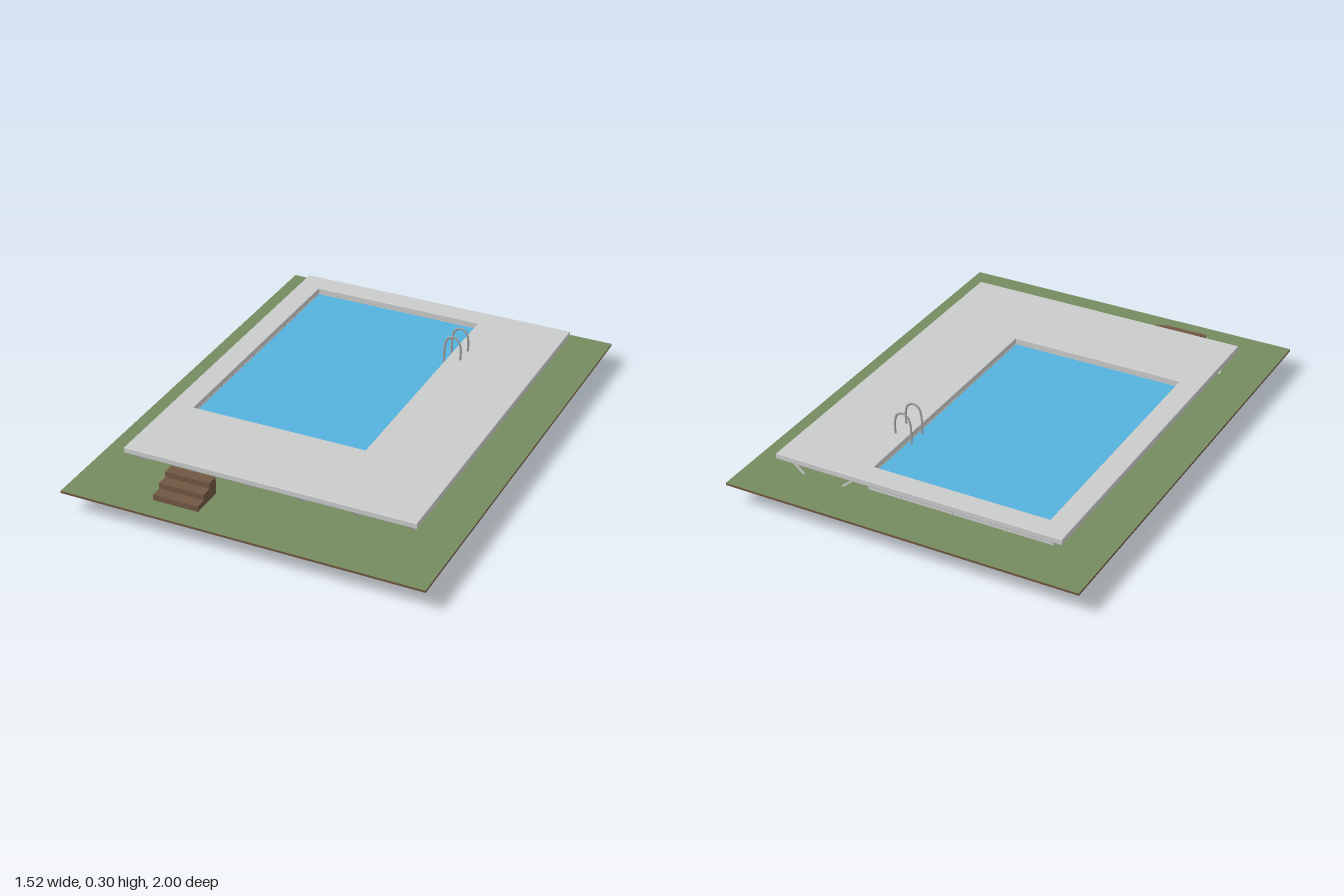
import * as THREE from 'three';

const mat = (name, color, side = THREE.FrontSide) => {
  const m = new THREE.MeshStandardMaterial({ color, side });
  m.name = name;
  return m;
};

// Rectangle [x0, x1, z0, z1] as a shape; depth z is stored as -y until laid flat
function rect(Type, [x0, x1, z0, z1]) {
  const s = new Type();
  s.moveTo(x0, -z1);
  s.lineTo(x1, -z1);
  s.lineTo(x1, -z0);
  s.lineTo(x0, -z0);
  s.closePath();
  return s;
}

function frameShape(outer, hole) {
  const s = rect(THREE.Shape, outer);
  s.holes.push(rect(THREE.Path, hole));
  return s;
}

// Flat slab with a rectangular opening between heights y0 and y1
function frame(outer, hole, y0, y1, bevel = 0) {
  const g = new THREE.ExtrudeGeometry(frameShape(outer, hole), {
    depth: y1 - y0 - 2 * bevel,
    bevelEnabled: bevel > 0,
    bevelSize: bevel, bevelThickness: bevel, bevelOffset: -bevel, bevelSegments: 2,
  });
  return g.rotateX(-Math.PI / 2).translate(0, y0 + bevel, 0);
}

export function createModel() {
  const model = new THREE.Group();
  const grey = mat('concrete grey', 0xcacccb);
  const green = mat('grass green', 0x758b5f);
  const brown = mat('earth and wood brown', 0x715743);
  const blue = mat('water blue', 0x55b2de, THREE.DoubleSide);
  const deepBlue = mat('pool floor blue', 0x286ea8, THREE.DoubleSide);
  const steel = mat('ladder steel', 0xa0a2a4);

  const add = (name, geometry, material, parent = model) => {
    const m = new THREE.Mesh(geometry, material);
    m.name = name;
    parent.add(m);
    return m;
  };
  const group = (name) => {
    const g = new THREE.Group();
    g.name = name;
    model.add(g);
    return g;
  };

  const ground = [-0.76, 0.76, -1, 1];
  const deck = [-0.618, 0.618, -0.857, 0.758];
  const wall = [-0.543, 0.255, -0.778, 0.398];
  const pool = [-0.521, 0.235, -0.76, 0.377];
  const [px0, px1, pz0, pz1] = pool;
  const G = 0.096, D = 0.169; // ground top, deck underside

  // Ground, lawn, deck and the pool walls above ground
  add('groundSlab', frame(ground, pool, 0.087, G), brown);
  const lawn = new THREE.ShapeGeometry(frameShape(ground, pool));
  add('lawn', lawn.rotateX(-Math.PI / 2).translate(0, G + 0.0006, 0), green);
  add('deck', frame(deck, pool, D, 0.194, 0.003), grey);
  add('poolWall', frame(wall, pool, G, D), grey);

  // Water surface and sunken floor
  for (const [name, y, m] of [['water', 0.165, blue], ['poolFloor', 0, deepBlue]]) {
    const g = new THREE.PlaneGeometry(px1 - px0, pz1 - pz0).rotateX(-Math.PI / 2);
    add(name, g.translate((px0 + px1) / 2, y, (pz0 + pz1) / 2), m);
  }

  // Square bar between two points
  const supports = group('deckSupports');
  const bar = (name, a, b, t = 0.007) => {
    const p = new THREE.Vector3(...a), q = new THREE.Vector3(...b);
    const m = add(name, new THREE.BoxGeometry(t, t, p.distanceTo(q)), grey, supports);
    m.position.copy(p).lerp(q, 0.5);
    m.lookAt(q);
  };

  // Wide overhangs get a beam and two struts, narrow ones a single strut and wall posts
  const bracket = (at, near, far) => {
    bar('beam', at(near, D - 0.001), at(far, D - 0.001), 0.006);
    bar('innerStrut', at(near, D - 0.003), at(near + 0.085, G));
    bar('outerStrut', at(far, D - 0.003), at(far - 0.08, G));
  };
  for (let i = 0; i < 6; i++) {
    const x = -0.575 + i * 0.23, z = -0.805 + i * 0.231;
    bracket((d, y) => [x, y, d], 0.41, 0.745);
    bracket((d, y) => [d, y, z], 0.268, 0.608);
    bar('leftStrut', [-0.58, D, z], [-0.54, 0.14, z]);
    bar('backStrut', [x, D, -0.815], [x, 0.14, -0.776]);
    if (z > wall[2]) bar('leftPost', [wall[0], G, z], [wall[0], D, z]);
    if (x > wall[0] && x < wall[1]) bar('backPost', [x, G, wall[2]], [x, D, wall[2]]);
  }

  // Wooden steps, tallest against the deck
  const steps = group('steps');
  for (let i = 0; i < 3; i++) {
    const h = 0.073 - i * 0.024;
    const g = new THREE.BoxGeometry(0.193, h, 0.048);
    add('step', g.translate(-0.311, G + h / 2, 0.784 + i * 0.048), brown, steps);
  }

  // Pool ladder: two arched rails, slimmer across than along, with rungs
  const ladder = group('ladder');
  const railPoints = [
    [0.29, 0.19], [0.291, 0.245], [0.28, 0.281], [0.256, 0.293], [0.231, 0.28],
    [0.22, 0.245], [0.218, 0.19], [0.217, 0.1], [0.217, 0.055], [0.219, 0.03], [0.228, 0.018],
  ];
  const path = new THREE.CatmullRomCurve3(railPoints.map(([x, y]) => new THREE.Vector3(x, y, 0)));
  for (const z of [-0.513, -0.431]) {
    const rail = add('rail', new THREE.TubeGeometry(path, 48, 0.005, 8), steel, ladder);
    rail.scale.z = 0.65;
    rail.position.z = z;
  }
  for (const y of [0.067, 0.115]) {
    const g = new THREE.BoxGeometry(0.016, 0.003, 0.082);
    add('rung', g.translate(0.217, y, -0.472), steel, ladder);
  }
  return model;
}
